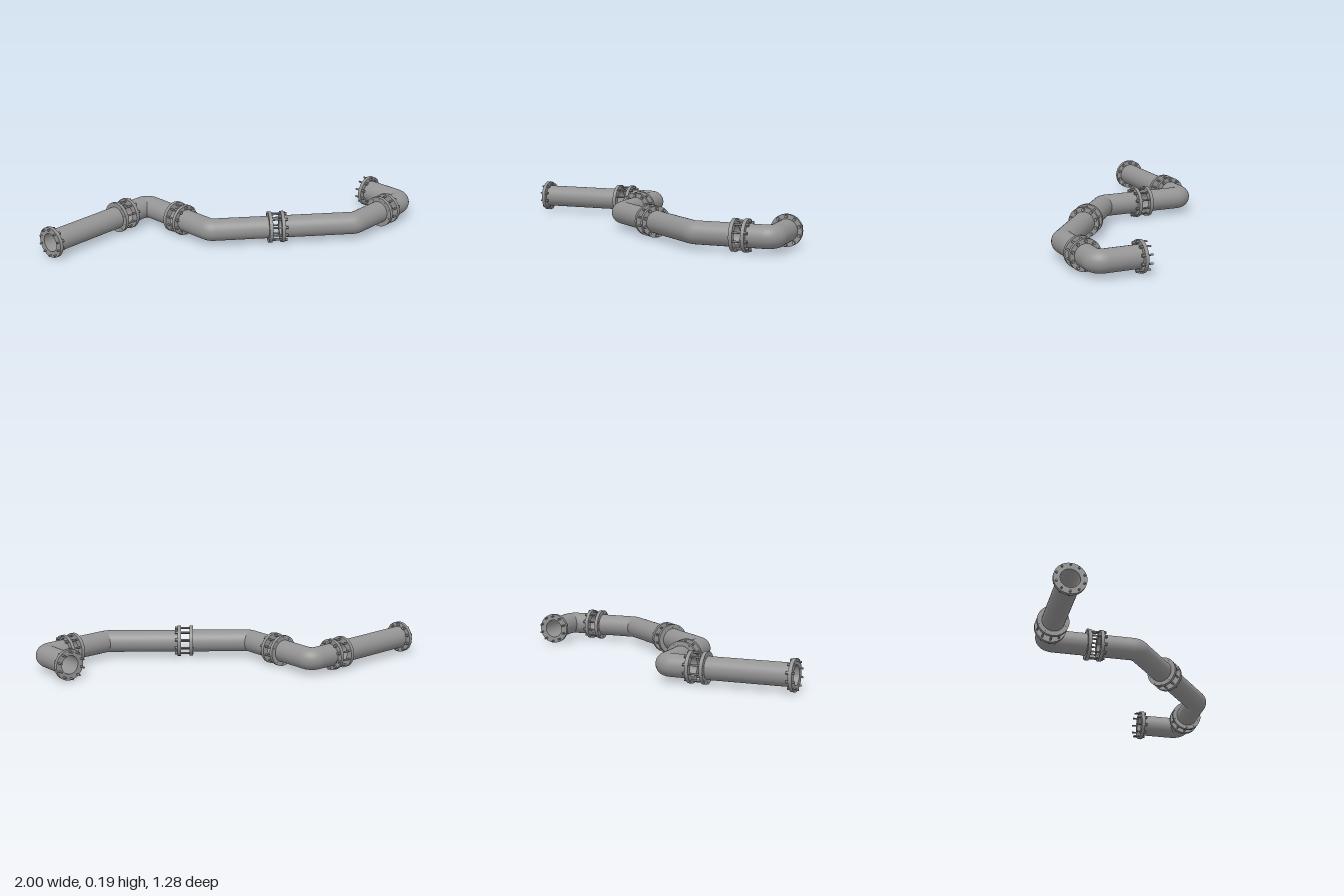
import * as THREE from 'three';
import { toCreasedNormals } from 'three/addons/utils/BufferGeometryUtils.js';

const AXIS_Y = 0.0925, OUTER = 0.066, BORE = 0.055, FLANGE = 0.0925;
const THICK = 0.021, BEND = 0.045, BOLTS = 10, BOLT_RING = 0.08, HEAD = 0.015;

const metal = new THREE.MeshStandardMaterial({ color: 0x949494 });
const lining = new THREE.MeshStandardMaterial({ color: 0x949494, side: THREE.BackSide });
const up = new THREE.Vector3(0, 1, 0);

// Centre line: straight runs joined by tight circular bends
function centreLine(points) {
  const path = new THREE.CurvePath();
  let from = points[0];
  for (let i = 1; i < points.length - 1; i++) {
    const corner = points[i];
    const d0 = corner.clone().sub(points[i - 1]).normalize();
    const d1 = points[i + 1].clone().sub(corner).normalize();
    const turn = d0.angleTo(d1);
    const cut = BEND * Math.tan(turn / 2), handle = BEND * (4 / 3) * Math.tan(turn / 4);
    const a = corner.clone().addScaledVector(d0, -cut);
    const b = corner.clone().addScaledVector(d1, cut);
    path.add(new THREE.LineCurve3(from, a));
    path.add(new THREE.CubicBezierCurve3(
      a, a.clone().addScaledVector(d0, handle), b.clone().addScaledVector(d1, -handle), b));
    from = b;
  }
  path.add(new THREE.LineCurve3(from, points[points.length - 1]));
  return path;
}

// Ring flange with its outer face at local y = 0, facing +y
const flangeGeometry = toCreasedNormals(new THREE.LatheGeometry([
  new THREE.Vector2(BORE, -THICK),
  new THREE.Vector2(FLANGE, -THICK),
  new THREE.Vector2(FLANGE, 0),
  new THREE.Vector2(BORE, 0),
  new THREE.Vector2(BORE, -THICK),
], 48), 0.6);
const headGeometry = toCreasedNormals(new THREE.CylinderGeometry(0.009, 0.009, HEAD, 6), 0.6);

// Flange at an end of a pipe; reach is how far its bolts stick out (0 = no bolts)
function makeFlange(name, position, outward, reach) {
  const group = new THREE.Group();
  group.name = name;
  const ring = new THREE.Mesh(flangeGeometry, metal);
  ring.name = 'flangeRing';
  group.add(ring);
  if (reach > 0) {
    const rodGeometry = new THREE.CylinderGeometry(0.0055, 0.0055, reach + THICK, 10);
    for (let i = 0; i < BOLTS; i++) {
      const angle = (i / BOLTS) * Math.PI * 2;
      const x = Math.cos(angle) * BOLT_RING, z = Math.sin(angle) * BOLT_RING;
      const head = new THREE.Mesh(headGeometry, metal);
      head.name = 'boltHead';
      head.position.set(x, -THICK - HEAD / 2, z);
      const rod = new THREE.Mesh(rodGeometry, metal);
      rod.name = 'boltShaft';
      rod.position.set(x, (reach - THICK) / 2, z);
      group.add(head, rod);
    }
  }
  // Local x points up so that one bolt sits at the top
  const side = new THREE.Vector3().crossVectors(up, outward);
  group.quaternion.setFromRotationMatrix(new THREE.Matrix4().makeBasis(up, outward, side));
  group.position.copy(position);
  return group;
}

function makeSection({ name, route, startReach, endReach = 0 }) {
  const group = new THREE.Group();
  group.name = name;
  const points = route.map(([x, z]) => new THREE.Vector3(x, AXIS_Y, z));
  const n = points.length;
  const startDir = points[0].clone().sub(points[1]).normalize();
  const endDir = points[n - 1].clone().sub(points[n - 2]).normalize();

  // Pipe wall stops inside the flanges
  const inner = points.map((p) => p.clone());
  inner[0].addScaledVector(startDir, -THICK / 2);
  inner[n - 1].addScaledVector(endDir, -THICK / 2);
  const path = centreLine(inner);
  const steps = n > 2 ? 90 : 1;
  const wall = new THREE.Mesh(new THREE.TubeGeometry(path, steps, OUTER, 40), metal);
  wall.name = 'pipeWall';
  const bore = new THREE.Mesh(new THREE.TubeGeometry(path, steps, BORE, 40), lining);
  bore.name = 'pipeBore';

  group.add(wall, bore,
    makeFlange('startFlange', points[0], startDir, startReach),
    makeFlange('endFlange', points[n - 1], endDir, endReach));
  return group;
}

export function createModel() {
  const model = new THREE.Group();
  model.name = 'pipeline';
  // Routes are [x, z] points from flange face to flange face
  const sections = [
    { name: 'straightPipe', route: [[-0.986, -0.548], [-0.457, -0.548]], startReach: 0.014 },
    { name: 'firstElbow', route: [[-0.393, -0.548], [-0.219, -0.548], [-0.219, -0.289]], startReach: 0.086 },
    { name: 'upperBend', route: [[-0.219, -0.235], [-0.219, -0.007], [0.062, 0.225]], startReach: 0.077 },
    { name: 'lowerBend', route: [[0.103, 0.259], [0.45, 0.545], [0.7, 0.545]], startReach: 0.075 },
    { name: 'lastElbow', route: [[0.747, 0.545], [0.906, 0.545], [0.906, 0.279]], startReach: 0.07, endReach: 0.03 },
  ];
  for (const section of sections) model.add(makeSection(section));
  return model;
}
